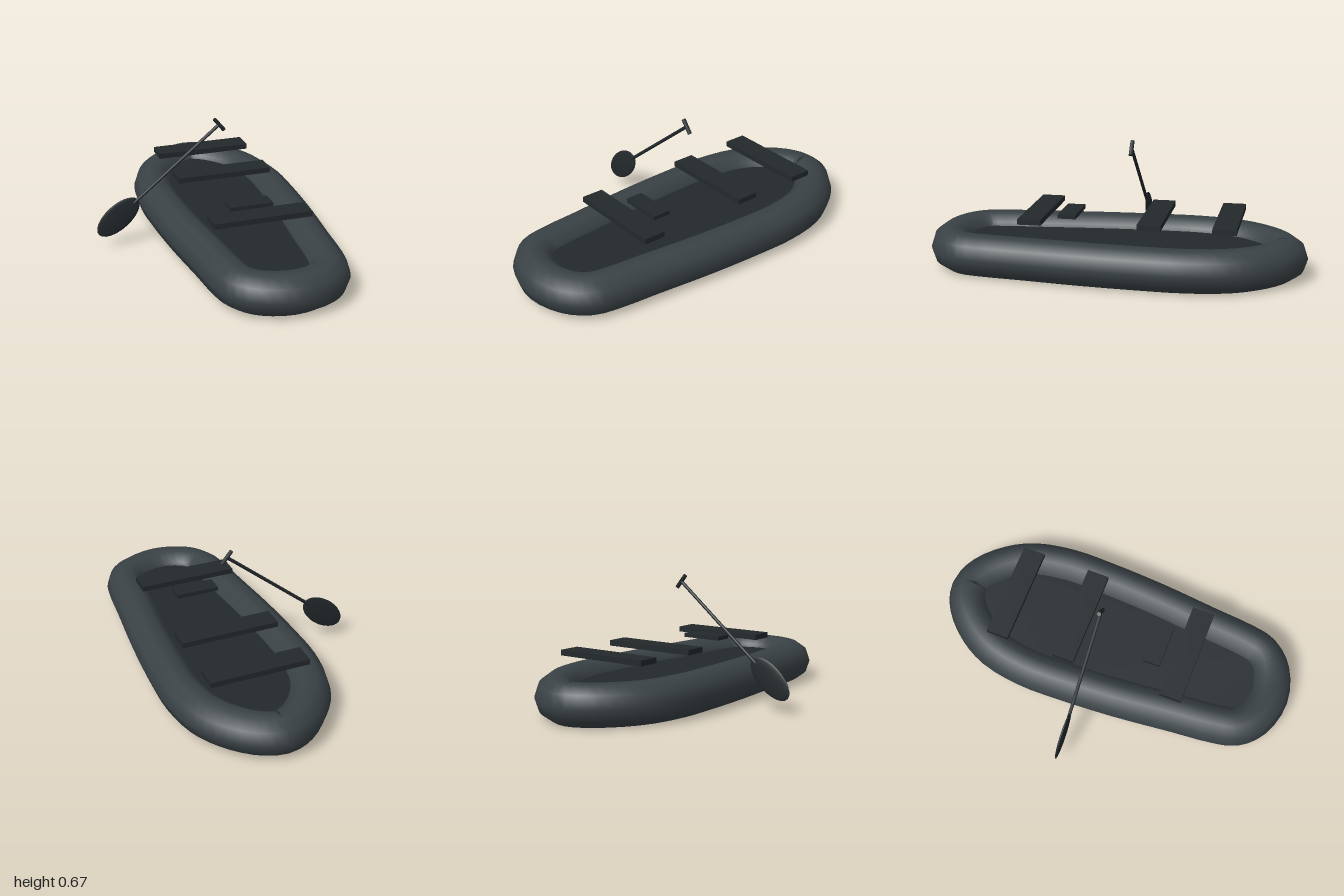
import * as THREE from 'three';
import { ParametricGeometry } from 'three/addons/geometries/ParametricGeometry.js';

const tubeMaterial = new THREE.MeshStandardMaterial({ color: 0x3a4246 });
const darkMaterial = new THREE.MeshStandardMaterial({ color: 0x23292c });
const floorMaterial = new THREE.MeshStandardMaterial({ color: 0x23292c, side: THREE.DoubleSide });

const HULL_X = 0.155; // centre line of the boat
const TUBE_R = 0.11;
const TUBE_Y = 0.104;

function add(parent, name, geometry, material, x = 0, y = 0, z = 0) {
  const mesh = new THREE.Mesh(geometry, material);
  mesh.name = name;
  mesh.position.set(x, y, z);
  parent.add(mesh);
  return mesh;
}

// Closed centre line of the inflated ring, mirrored from half widths [x, z], bow to stern
function hullCurve() {
  const half = [
    [0.105, -0.85], [0.215, -0.74], [0.285, -0.61], [0.322, -0.41], [0.322, -0.2],
    [0.305, 0.12], [0.273, 0.44], [0.252, 0.66], [0.226, 0.77], [0.15, 0.845],
  ];
  const points = [
    [0, -0.89],
    ...half.map(([x, z]) => [-x, z]),
    [0, 0.885],
    ...half.slice().reverse(),
  ].map(([x, z]) => new THREE.Vector3(x, 0, z));
  return new THREE.CatmullRomCurve3(points, true);
}

// Ten-sided tube swept round the centre line, with a corner facing straight outwards
function ringGeometry(curve) {
  const p = new THREE.Vector3();
  const t = new THREE.Vector3();
  return new ParametricGeometry((u, v, target) => {
    const along = (u + 1) % 1;
    curve.getPoint(along, p);
    curve.getTangent(along, t);
    const a = v * Math.PI * 2;
    const out = TUBE_R * Math.cos(a);
    target.set(p.x - t.z * out, TUBE_R * Math.sin(a), p.z + t.x * out);
  }, 66, 10);
}

function createPaddle() {
  const paddle = new THREE.Group();
  paddle.name = 'paddle';
  // Built along y with the blade centre at the origin, then tilted
  const blade = add(paddle, 'paddleBlade', new THREE.SphereGeometry(1, 24, 12), darkMaterial);
  blade.scale.set(0.073, 0.141, 0.011);
  add(paddle, 'paddleShaft', new THREE.CylinderGeometry(0.009, 0.009, 0.62, 10), darkMaterial, 0, 0.42, 0);
  const grip = add(paddle, 'paddleGrip', new THREE.CylinderGeometry(0.011, 0.011, 0.084, 10), darkMaterial, 0, 0.73, 0);
  grip.rotation.z = Math.PI / 2;
  paddle.position.set(-0.473, 0.17, -0.07);
  paddle.rotation.z = THREE.MathUtils.degToRad(39.3 - 90);
  return paddle;
}

export function createModel() {
  const model = new THREE.Group();
  model.name = 'inflatableBoat';
  const curve = hullCurve();

  add(model, 'inflatedRing', ringGeometry(curve), tubeMaterial, HULL_X, TUBE_Y, 0);

  // Floor sheet stretched across the ring
  const outline = curve.getPoints(66).slice(0, -1).map((p) => new THREE.Vector2(p.x, p.z));
  const floor = new THREE.ShapeGeometry(new THREE.Shape(outline)).rotateX(Math.PI / 2);
  add(model, 'floor', floor, floorMaterial, HULL_X, 0.15, 0);

  // Bench boards across the boat, and a small footrest
  [-0.595, -0.215, 0.4].forEach((z) =>
    add(model, 'seat', new THREE.BoxGeometry(0.53, 0.029, 0.121), darkMaterial, HULL_X, 0.296, z));
  add(model, 'footrest', new THREE.BoxGeometry(0.233, 0.022, 0.095), darkMaterial, HULL_X, 0.294, 0.238);

  model.add(createPaddle());
  return model;
}
